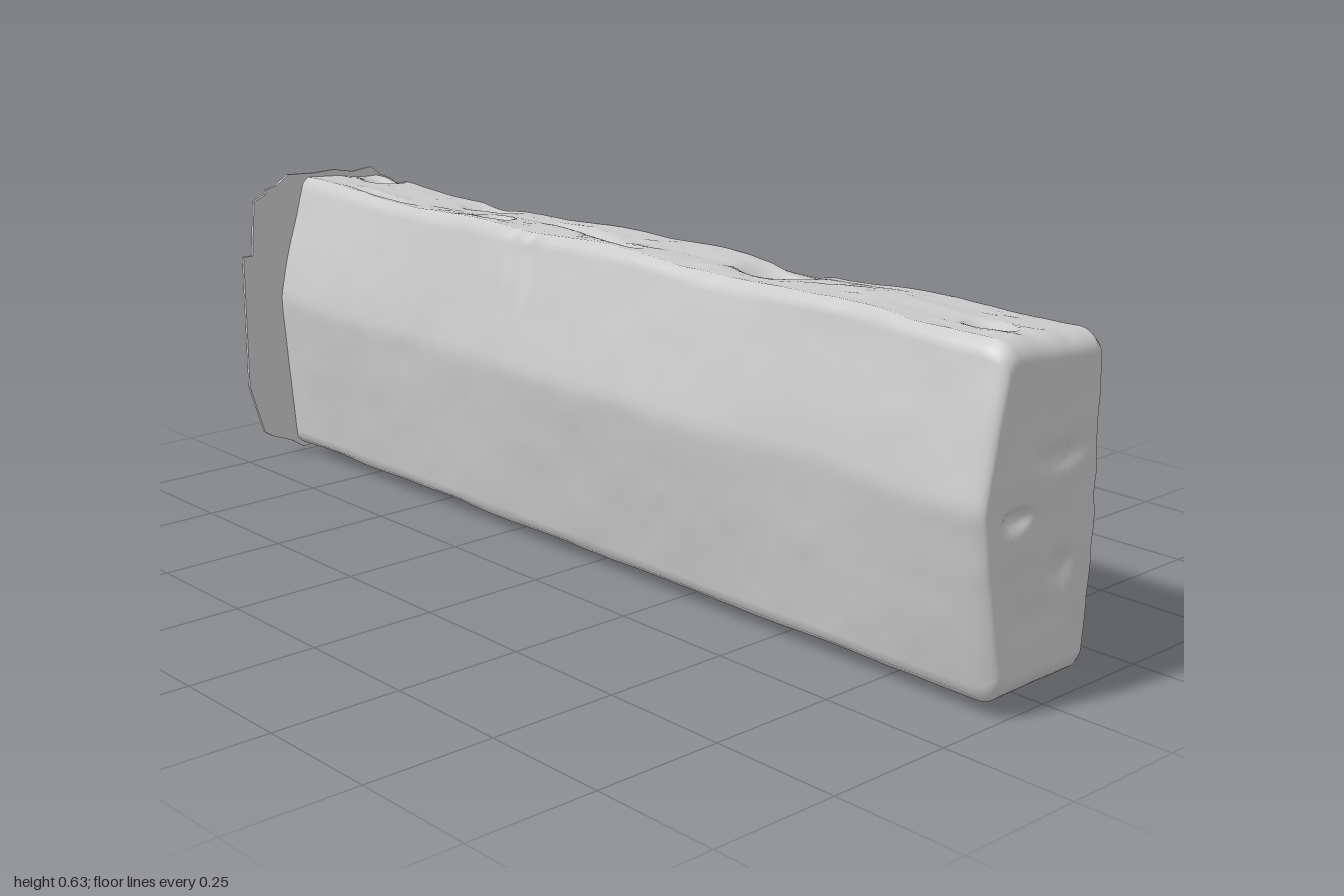
import * as THREE from 'three';

const { lerp, smoothstep } = THREE.MathUtils;

// smooth curve through [x, value] pairs
function track(pairs) {
  return x => {
    let i = 0;
    while (i < pairs.length - 2 && x > pairs[i + 1][0]) i++;
    const [x0, a] = pairs[i], [x1, b] = pairs[i + 1];
    return lerp(a, b, smoothstep(x, x0, x1));
  };
}
const backBulge = track([[-1, -0.165], [-0.6, -0.182], [-0.38, -0.155], [-0.02, -0.192], [0.22, -0.14], [0.4, -0.14], [0.65, -0.168], [0.95, -0.13], [1, -0.125]]);
const frontRidge = track([[-1, 0.15], [-0.8, 0.16], [-0.45, 0.152], [0, 0.172], [0.3, 0.174], [0.6, 0.163], [0.95, 0.186], [1, 0.186]]);
const frontTop = track([[-1, 0.08], [-0.5, 0.095], [0, 0.103], [0.6, 0.112], [0.9, 0.132], [1, 0.132]]);
const backTop = track([[-1, -0.125], [-0.5, -0.115], [0, -0.11], [0.4, -0.105], [1, -0.117]]);
const topHeight = track([[-1, 0.622], [-0.6, 0.614], [-0.3, 0.62], [0.1, 0.631], [0.35, 0.622], [0.62, 0.632], [0.9, 0.628], [1, 0.628]]);

// irregular smooth noise in -1..1
const hash = (i, j) => {
  const s = Math.sin(i * 127.1 + j * 311.7) * 43758.5453;
  return 2 * (s - Math.floor(s)) - 1;
};
function noise(a, b) {
  const i = Math.floor(a), j = Math.floor(b);
  const u = smoothstep(a - i, 0, 1), v = smoothstep(b - j, 0, 1);
  return lerp(lerp(hash(i, j), hash(i + 1, j), u), lerp(hash(i, j + 1), hash(i + 1, j + 1), u), v);
}
const rough = (a, b) => 0.6 * noise(a, b) + 0.28 * noise(2.1 * a + 7, 2.1 * b) + 0.12 * noise(4.7 * a, 4.7 * b + 3);

// dents: centre, radii, depth
function bump(a, b, [ca, cb, ra, rb, depth]) {
  const r2 = ((a - ca) / ra) ** 2 + ((b - cb) / rb) ** 2;
  return depth * Math.exp(-r2 * r2);
}
const dent = (list, a, b) => list.reduce((s, d) => s + bump(a, b, d), 0);
const topDents = [
  [-0.92, -0.08, 0.04, 0.036, 0.02], [0.35, -0.04, 0.075, 0.06, 0.03],
  [-0.39, 0.025, 0.03, 0.028, 0.018], [0.88, 0.03, 0.04, 0.028, 0.014],
  [-0.52, -0.07, 0.07, 0.04, 0.014], [-0.75, 0.05, 0.1, 0.014, 0.006]];
const frontDents = [[-0.17, 0.57, 0.02, 0.07, 0.007], [-0.23, 0.58, 0.015, 0.05, 0.005]];
const endDents = [[0.085, 0.335, 0.035, 0.018, 0.01], [-0.03, 0.23, 0.03, 0.03, 0.006], [-0.02, 0.42, 0.06, 0.02, 0.006]];

// curved crack wandering along the top
function crack(x, z) {
  const path = -0.035 + 0.09 * smoothstep(x, -0.25, 0.08);
  const fade = smoothstep(x, -0.32, -0.22) * (1 - smoothstep(x, 0.02, 0.1));
  const offset = (z - path) / 0.016;
  return 0.013 * fade * Math.exp(-offset * offset);
}

// one closed cross-section as [y, z] points: top, front, bottom, back
function section(x) {
  const zft = frontTop(x), zbt = backTop(x), zfb = 0.122, zbb = -0.105;
  const yTop = topHeight(x), yBot = 0.024;
  const yBackTop = yTop - 0.016;
  const pts = [];
  const side = (n, inset, f) => {
    for (let i = 0; i < n; i++) pts.push(f(lerp(inset, 1 - inset, i / (n - 1))));
  };
  side(32, 0.05, t => {
    const z = lerp(zbt, zft, t);
    return [lerp(yBackTop, yTop, t) + 0.007 * rough(x * 6, z * 12) - dent(topDents, x, z) - crack(x, z), z];
  });
  side(36, 0.02, t => {
    const y = lerp(yTop, yBot, t), v = Math.abs(t - 0.44) / (t < 0.44 ? 0.44 : 0.56);
    const z = lerp(frontRidge(x), t < 0.44 ? zft : zfb, v ** 1.15);
    return [y, z + 0.003 * rough(x * 8, y * 9) - dent(frontDents, x, y)];
  });
  side(28, 0.05, t => {
    const z = lerp(zfb, zbb, t);
    return [yBot - 0.004 * rough(x * 7 + 20, z * 12), z];
  });
  side(44, 0.02, t => {
    const y = lerp(yBot, yBackTop, t), arch = Math.sin(Math.PI * t);
    const folds = 0.016 * rough(5 * x + 6 * y + 31, 9 * y - 3 * x);
    return [y, lerp(lerp(zbb, zbt, t), backBulge(x), arch ** 1.25) + folds * arch];
  });
  return pts;
}

// rough beam skinned from cross-sections, with a rounded far end
function beamGeometry() {
  const rings = [], round = 0.05, cy = 0.34, cz = 0.015;
  const addRing = (x, q) => {
    const d = 0.04 * (1 - Math.sqrt(1 - q * q));
    rings.push(section(x).map(([y, z]) => [x, cy + (y - cy) * (1 - d / 0.3), cz + (z - cz) * (1 - d / 0.4)]));
  };
  for (let i = 0; i <= 190; i++) addRing(lerp(-0.996, 1 - round, i / 190), 0);
  for (let i = 1; i <= 9; i++) {
    const q = Math.sin(i / 9 * Math.PI / 2);
    addRing(1 - round + round * q, q);
  }
  // end face closes toward its centre
  const rim = rings[rings.length - 1];
  for (let k = 1; k <= 20; k++) {
    const s = 1 - k / 20;
    rings.push(rim.map(([, y, z]) => {
      const py = cy + (y - cy) * s, pz = cz + (z - cz) * s;
      return [1 - Math.min(1, 3 * (1 - s)) * (0.004 + 0.004 * rough(py * 12, pz * 12) + dent(endDents, pz, py)), py, pz];
    }));
  }
  const n = rim.length, index = [];
  for (let r = 0; r < rings.length - 1; r++) {
    for (let i = 0; i < n; i++) {
      const a = r * n + i, b = r * n + (i + 1) % n;
      index.push(a, b, a + n, b, b + n, a + n);
    }
  }
  const g = new THREE.BufferGeometry();
  g.setAttribute('position', new THREE.Float32BufferAttribute(rings.flat(2), 3));
  g.setIndex(index);
  g.computeVertexNormals();
  return g;
}

// thin ragged plate, outline as [z, y]
function plateGeometry() {
  const outline = [
    [0.243, 0.465], [0.22, 0.465], [0.21, 0.583], [0.18, 0.595], [0.178, 0.605], [0.15, 0.612], [0.12, 0.632],
    [0.05, 0.628], [0, 0.63], [-0.05, 0.62], [-0.1, 0.625], [-0.125, 0.605], [-0.155, 0.592], [-0.175, 0.565],
    [-0.2, 0.55], [-0.22, 0.52], [-0.235, 0.495], [-0.24, 0.46],
    [-0.24, 0.175], [-0.208, 0.172], [-0.208, 0.113], [-0.178, 0.108], [-0.175, 0.085], [-0.14, 0.055], [-0.12, 0.045],
    [-0.11, 0.017], [-0.05, 0.015], [-0.01, 0], [0.04, 0.016], [0.11, 0.01], [0.14, 0.03],
    [0.19, 0.05], [0.21, 0.063], [0.243, 0.175]];
  const shape = new THREE.Shape(outline.map(([z, y]) => new THREE.Vector2(-z, y)));
  return new THREE.ExtrudeGeometry(shape, { depth: 0.007, bevelEnabled: false })
    .rotateY(Math.PI / 2).translate(-1, 0, 0);
}

export function createModel() {
  const group = new THREE.Group();
  group.name = 'roughBeam';
  const material = new THREE.MeshStandardMaterial({ color: 0xcccccc, side: THREE.DoubleSide });
  const add = (name, geometry) => {
    const mesh = new THREE.Mesh(geometry, material);
    mesh.name = name;
    group.add(mesh);
  };
  add('beam', beamGeometry());
  add('endPlate', plateGeometry());
  return group;
}
